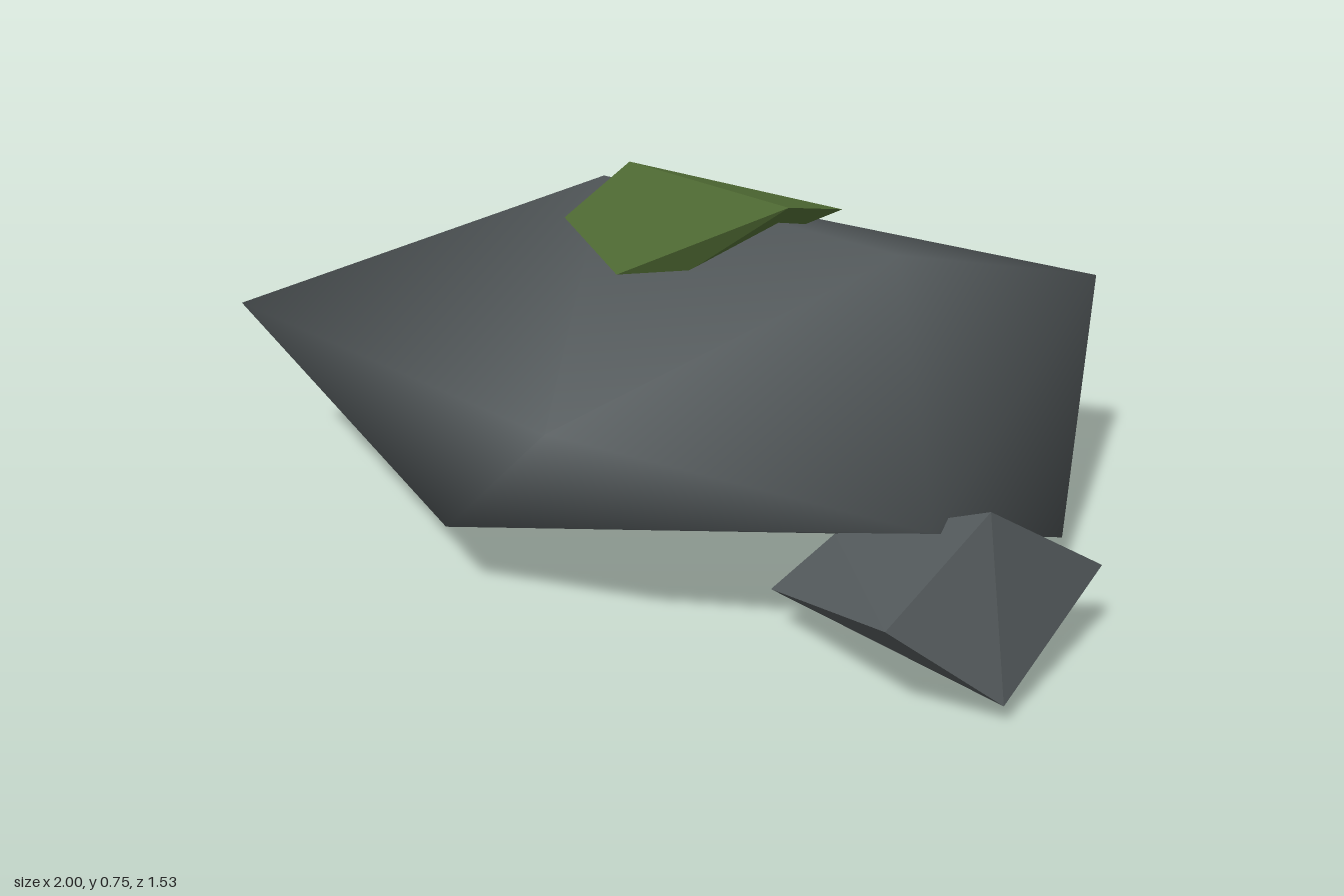
import * as THREE from 'three';
import { ConvexGeometry } from 'three/addons/geometries/ConvexGeometry.js';
import { mergeVertices } from 'three/addons/utils/BufferGeometryUtils.js';

// Closed faceted hull around a few corner points; optionally smooth shaded
function hull(name, corners, material, smooth = false) {
  let geometry = new ConvexGeometry(corners.map((c) => new THREE.Vector3(...c)));
  if (smooth) {
    geometry.deleteAttribute('normal');
    geometry = mergeVertices(geometry, 1e-4);
    geometry.computeVertexNormals();
  }
  const mesh = new THREE.Mesh(geometry, material);
  mesh.name = name;
  return mesh;
}

export function createModel() {
  const stone = new THREE.MeshStandardMaterial({ color: 0x545a5c });
  stone.name = 'stone grey';
  const moss = new THREE.MeshStandardMaterial({ color: 0x4f6a33 });
  moss.name = 'moss green';

  const group = new THREE.Group();
  group.name = 'mossyRock';

  // Large smooth boulder
  group.add(hull('boulder', [
    [-1, 0.41, 0.17], [0.19, 0.57, 0.765], [0.54, 0.73, 0], [0.74, 0.5, -0.71],
    [-0.13, 0.26, -0.765], [-0.33, 0, -0.15], [0.85, 0.08, -0.23],
    [-0.34, 0.67, -0.36], [-0.22, 0.17, 0.5], [0.77, 0.33, 0.35],
  ], stone, true));

  // Small faceted stone leaning on the boulder's front left
  group.add(hull('smallStone', [
    [0.86, 0.37, 0.29], [0.77, 0.23, 0.565], [1, 0.16, 0], [0.95, 0.045, 0.41],
    [0.68, 0, 0.11], [0.43, 0.11, 0.32], [0.52, 0.21, 0.22],
  ], stone));

  // Faceted moss patch on top
  group.add(hull('mossPatch', [
    [-0.26, 0.72, -0.34], [0.25, 0.67, -0.39], [0.24, 0.745, -0.13], [0.06, 0.695, 0.28],
    [-0.29, 0.65, -0.1], [0.13, 0.66, 0.1], [0.2, 0.65, -0.33],
  ], moss));

  return group;
}
